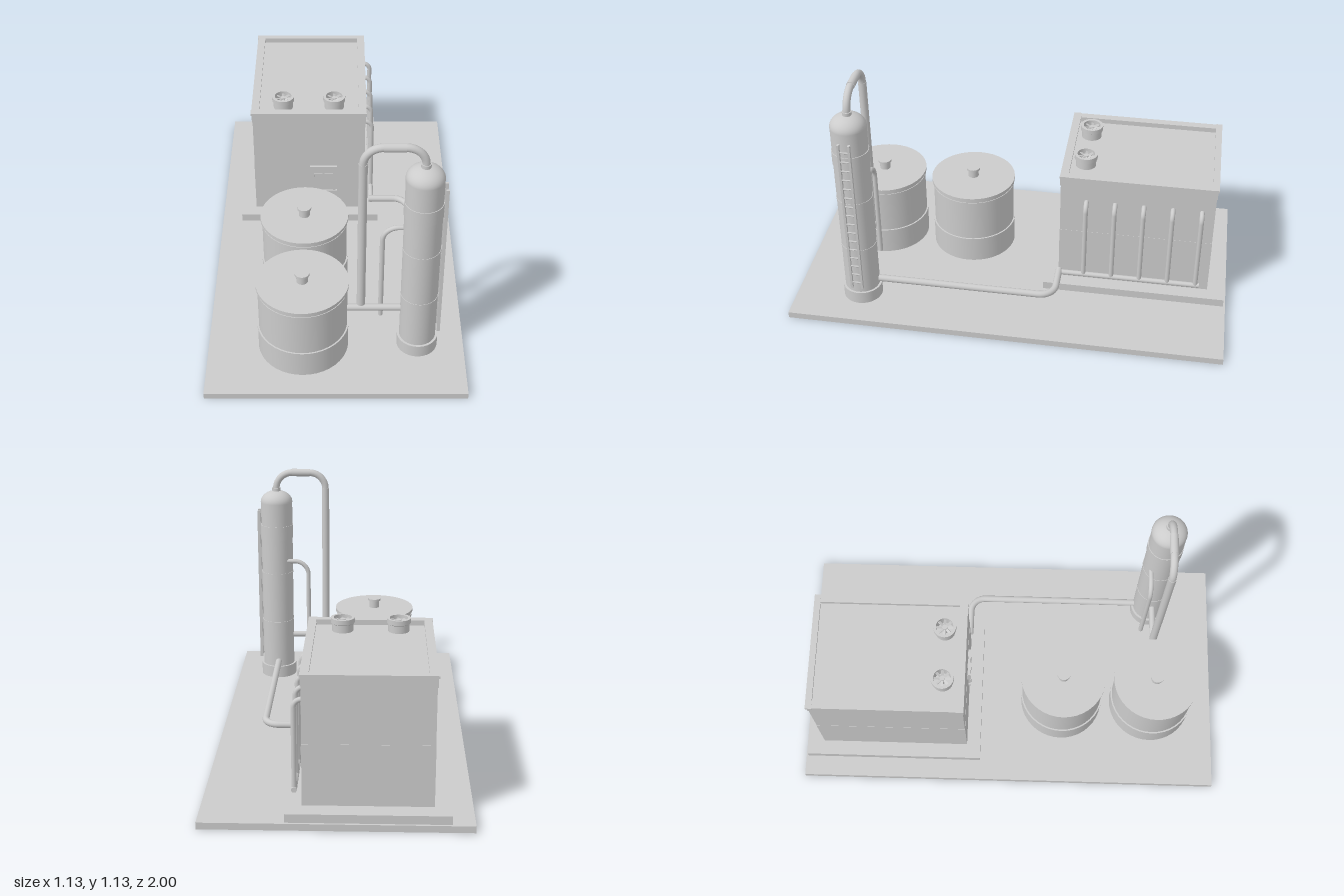
import * as THREE from 'three';

const material = new THREE.MeshStandardMaterial({ color: 0xcccccc, side: THREE.DoubleSide });

function add(parent, name, geometry, x = 0, y = 0, z = 0) {
  const mesh = new THREE.Mesh(geometry, material);
  mesh.name = name;
  mesh.position.set(x, y, z);
  parent.add(mesh);
  return mesh;
}

function group(parent, name, x = 0, y = 0, z = 0) {
  const g = new THREE.Group();
  g.name = name;
  g.position.set(x, y, z);
  parent.add(g);
  return g;
}

// Box given by its extents
function block(parent, name, x0, x1, y0, y1, z0, z1) {
  return add(parent, name, new THREE.BoxGeometry(x1 - x0, y1 - y0, z1 - z0),
    (x0 + x1) / 2, (y0 + y1) / 2, (z0 + z1) / 2);
}

// Upright cylinder from y0 to y1
function drum(parent, name, r, y0, y1, x = 0, z = 0, sides = 40) {
  return add(parent, name, new THREE.CylinderGeometry(r, r, y1 - y0, sides), x, (y0 + y1) / 2, z);
}

// Pipe through corner points, each inner corner rounded by the bend radius
function pipe(parent, name, points, r, bend = 0.05) {
  const p = points.map(a => new THREE.Vector3(...a));
  const path = new THREE.CurvePath();
  let from = p[0];
  for (let i = 1; i < p.length - 1; i++) {
    const a = p[i].clone().add(p[i - 1].clone().sub(p[i]).setLength(bend));
    const b = p[i].clone().add(p[i + 1].clone().sub(p[i]).setLength(bend));
    const k = 0.448; // circular-arc handles
    path.add(new THREE.LineCurve3(from, a));
    path.add(new THREE.CubicBezierCurve3(a, p[i].clone().lerp(a, k), p[i].clone().lerp(b, k), b));
    from = b;
  }
  const end = p[p.length - 1];
  path.add(new THREE.LineCurve3(from, end));
  add(parent, name, new THREE.TubeGeometry(path, p.length > 2 ? 72 : 1, r, 14));
  // Flat ends
  [[p[0], p[1]], [end, p[p.length - 2]]].forEach(([at, inner]) => {
    const cap = add(parent, name + 'End', new THREE.CircleGeometry(r, 14), at.x, at.y, at.z);
    cap.quaternion.setFromUnitVectors(new THREE.Vector3(0, 0, 1), at.clone().sub(inner).normalize());
  });
}

function roofFan(parent, x, z) {
  const fan = group(parent, 'roofFan', x, 0.615, z);
  const ring = [[0.04, 0], [0.047, 0], [0.047, 0.034], [0.053, 0.038], [0.053, 0.06], [0.04, 0.06], [0.04, 0]];
  // Repeated corners keep the ring edges crisp
  const profile = ring.flatMap(([a, b]) => [new THREE.Vector2(a, b), new THREE.Vector2(a, b)]).slice(1, -1);
  add(fan, 'fanHousing', new THREE.LatheGeometry(profile, 28));
  drum(fan, 'fanHub', 0.012, 0, 0.052, 0, 0, 16);
  for (let i = 0; i < 8; i++) {
    const a = i * Math.PI / 4;
    const blade = add(fan, 'fanBlade', new THREE.BoxGeometry(0.034, 0.003, 0.012),
      0.025 * Math.cos(a), 0.045, -0.025 * Math.sin(a));
    blade.rotation.set(0.4, a, 0, 'YXZ');
  }
}

function building(parent) {
  const b = group(parent, 'building');
  block(b, 'plinth', -0.47, 0.208, 0.03, 0.068, -0.99, -0.142);
  block(b, 'lowerWalls', -0.401, 0.141, 0.068, 0.34, -0.911, -0.207);
  block(b, 'upperWalls', -0.4, 0.14, 0.34, 0.615, -0.91, -0.208);
  // Roof edge: beams with a thin coping on top
  for (const [x0, x1] of [[-0.403, -0.372], [0.112, 0.143]]) {
    block(b, 'sideBeam', x0, x1, 0.59, 0.63, -0.913, -0.205);
    block(b, 'sideCoping', x0 - 0.003, x1 + 0.003, 0.63, 0.64, -0.918, -0.203);
  }
  for (const [z0, z1] of [[-0.913, -0.892], [-0.235, -0.206]]) {
    block(b, 'endBeam', -0.403, 0.143, 0.59, 0.63, z0, z1);
    block(b, 'endCoping', -0.408, 0.146, 0.63, 0.641, z0 - 0.005, z1 + 0.003);
  }
  roofFan(b, -0.255, -0.305);
  roofFan(b, -0.009, -0.305);

  // Framed wall panel
  const w = group(b, 'wallPanel', -0.062, 0.245, -0.207);
  block(w, 'panelFace', -0.05, 0.05, -0.065, 0.065, 0, 0.003);
  for (const s of [-1, 1]) block(w, 'panelSide', s * 0.052 - 0.006, s * 0.052 + 0.006, -0.07, 0.08, 0, 0.01);
  block(w, 'panelHead', -0.066, 0.066, 0.07, 0.085, 0, 0.012);
  block(w, 'panelSill', -0.066, 0.066, -0.078, -0.064, 0, 0.012);
  block(w, 'panelRail', -0.05, 0.05, 0.03, 0.038, 0, 0.007);
  block(w, 'panelMullion', -0.004, 0.004, 0.035, 0.07, 0, 0.007);

  // Wall pipes dropping into a manifold
  for (let i = 0; i < 5; i++) {
    const z = -0.328 - i * 0.131;
    pipe(b, 'wallPipe', [[0.13, 0.51, z], [0.175, 0.51, z], [0.175, 0.115, z]], 0.011, 0.035);
  }
  pipe(b, 'manifold', [[0.175, 0.115, -0.87], [0.175, 0.115, -0.2]], 0.012);
}

function tank(parent, z) {
  const t = group(parent, 'tank', -0.145, 0, z);
  drum(t, 'tankBase', 0.199, 0.03, 0.152);
  drum(t, 'tankBaseRim', 0.201, 0.152, 0.16);
  drum(t, 'tankBody', 0.194, 0.16, 0.385);
  drum(t, 'tankBand', 0.197, 0.363, 0.372);
  drum(t, 'tankLid', 0.201, 0.384, 0.399);
  drum(t, 'ventStem', 0.025, 0.399, 0.436, 0, 0, 24);
  drum(t, 'ventCap', 0.032, 0.435, 0.446, 0, 0, 24);
}

function column(parent) {
  const X = 0.359, Z = 0.694;
  const c = group(parent, 'column', X, 0, Z);
  drum(c, 'columnFoot', 0.09, 0.03, 0.09);
  drum(c, 'columnBody', 0.08, 0.09, 0.96);
  for (const y of [0.33, 0.59]) drum(c, 'columnRing', 0.082, y - 0.004, y + 0.004);
  drum(c, 'columnBand', 0.083, 0.773, 0.842);
  const dome = add(c, 'columnDome', new THREE.SphereGeometry(0.081, 40, 12, 0, Math.PI * 2, 0, Math.PI / 2), 0, 0.958, 0);
  dome.scale.y = 0.74;
  drum(c, 'domeNeck', 0.021, 1.005, 1.032, 0, 0, 20);

  // Ladder on the outer side
  const ladder = group(c, 'ladder', 0.09, 0, 0);
  for (const s of [-1, 1]) block(ladder, 'ladderRail', -0.007, 0.007, 0.125, 0.915, s * 0.024 - 0.005, s * 0.024 + 0.005);
  for (let i = 0; i < 16; i++) {
    const rung = add(ladder, 'ladderRung', new THREE.CylinderGeometry(0.004, 0.004, 0.048, 8), 0, 0.155 + i * 0.048, 0);
    rung.rotation.x = Math.PI / 2;
  }

  // Pipework between column, tank and building
  pipe(parent, 'overheadPipe', [[X, 1.0, Z], [X, 1.11, Z], [0.108, 1.11, Z], [0.108, 0.268, Z]], 0.017, 0.082);
  const sleeve = add(parent, 'overheadSleeve', new THREE.CylinderGeometry(0.019, 0.019, 0.09, 20), 0.233, 1.11, Z);
  sleeve.rotation.z = Math.PI / 2;
  drum(parent, 'dropPipeSleeve', 0.0185, 0.268, 1.03, 0.108, Z, 20);
  pipe(parent, 'tankPipe', [[0.04, 0.244, Z], [X, 0.244, Z]], 0.015);
  pipe(parent, 'sidePipe', [[0.32, 0.657, 0.645], [0.196, 0.657, 0.645], [0.196, 0.155, 0.645]], 0.011, 0.07);
  pipe(parent, 'groundPipe', [[0.163, 0.117, -0.212], [0.355, 0.117, -0.212], [0.355, 0.117, 0.64]], 0.016, 0.07);
}

export function createModel() {
  const model = new THREE.Group();
  model.name = 'processPlant';
  block(model, 'groundSlab', -0.565, 0.565, 0, 0.03, -1, 1);
  building(model);
  for (const z of [0.253, 0.694]) tank(model, z);
  column(model);
  return model;
}
